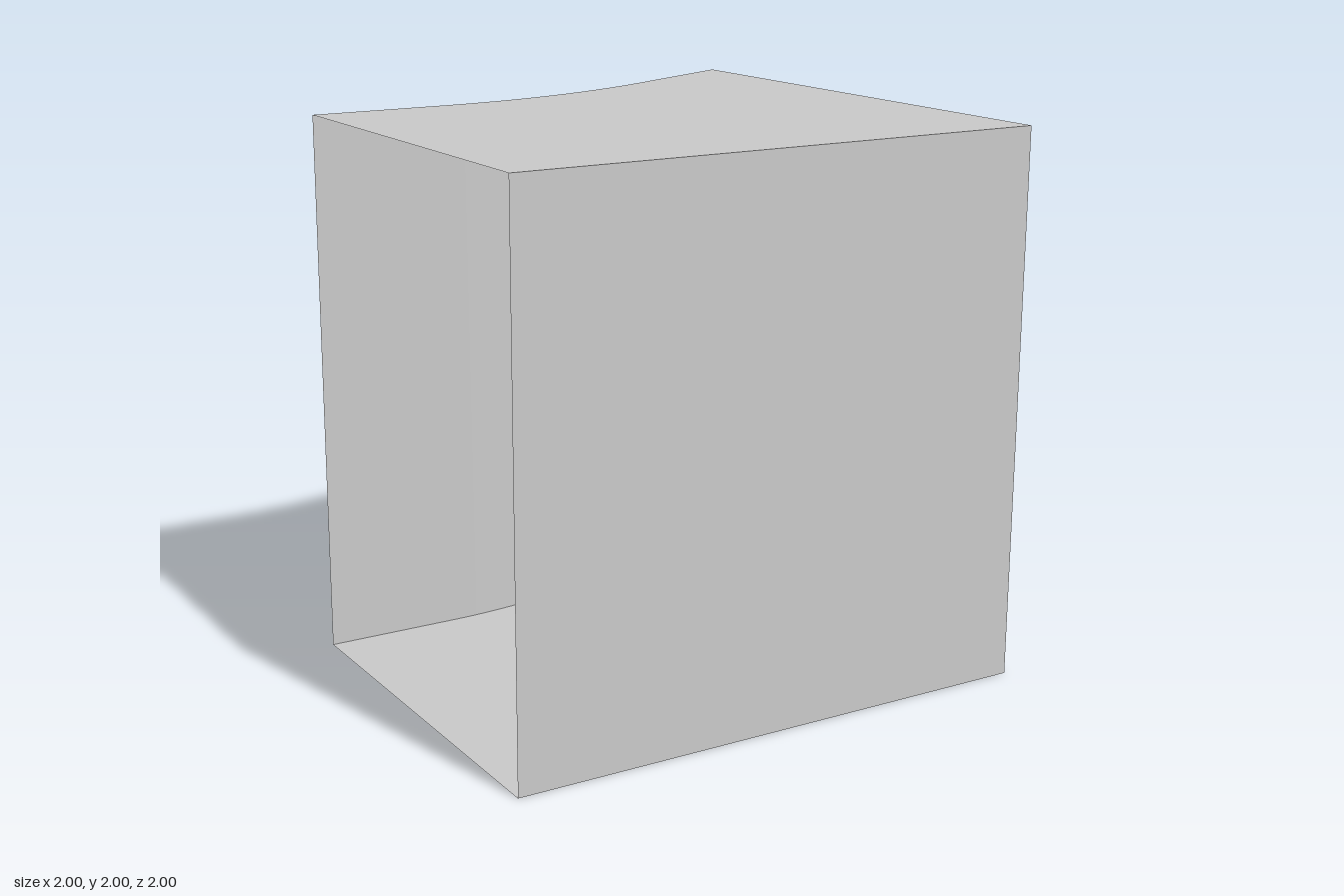
import * as THREE from 'three';

const HEIGHT = 2;
const SEGMENTS = 64;

// Back edge depth: flat, then a parabolic bend, then a straight slope of one half
function backZ(x) {
  const t = Math.max(0, x + 0.5);
  return t < 1 ? -0.5 - 0.25 * t * t : -0.75 - 0.5 * (t - 1);
}

export function createModel() {
  const group = new THREE.Group();
  const material = new THREE.MeshStandardMaterial({ color: 0xcccccc, side: THREE.DoubleSide });

  function add(name, geometry) {
    const mesh = new THREE.Mesh(geometry, material);
    mesh.name = name;
    group.add(mesh);
    return mesh;
  }

  // Flat front panel
  add('frontWall', new THREE.PlaneGeometry(2, HEIGHT)).position.set(0, HEIGHT / 2, 1);

  // Curved back panel, facing backwards
  const back = new THREE.PlaneGeometry(2, HEIGHT, SEGMENTS, 1).rotateY(Math.PI);
  const pos = back.attributes.position;
  for (let i = 0; i < pos.count; i++) pos.setZ(i, backZ(pos.getX(i)));
  back.computeVertexNormals();
  add('backWall', back).position.y = HEIGHT / 2;

  // Plan outline shared by floor and roof (shape y = -z); both sides stay open
  const outline = [new THREE.Vector2(-1, -1), new THREE.Vector2(1, -1)];
  for (let i = SEGMENTS; i >= 0; i--) {
    const x = -1 + (2 * i) / SEGMENTS;
    outline.push(new THREE.Vector2(x, -backZ(x)));
  }
  const plan = new THREE.Shape(outline);

  // Roof faces up
  add('roof', new THREE.ShapeGeometry(plan).rotateX(-Math.PI / 2)).position.y = HEIGHT;

  // Floor faces down: reverse the winding and flip the normals
  const floor = new THREE.ShapeGeometry(plan).rotateX(-Math.PI / 2);
  floor.index.array.reverse();
  floor.computeVertexNormals();
  add('floor', floor);

  return group;
}
